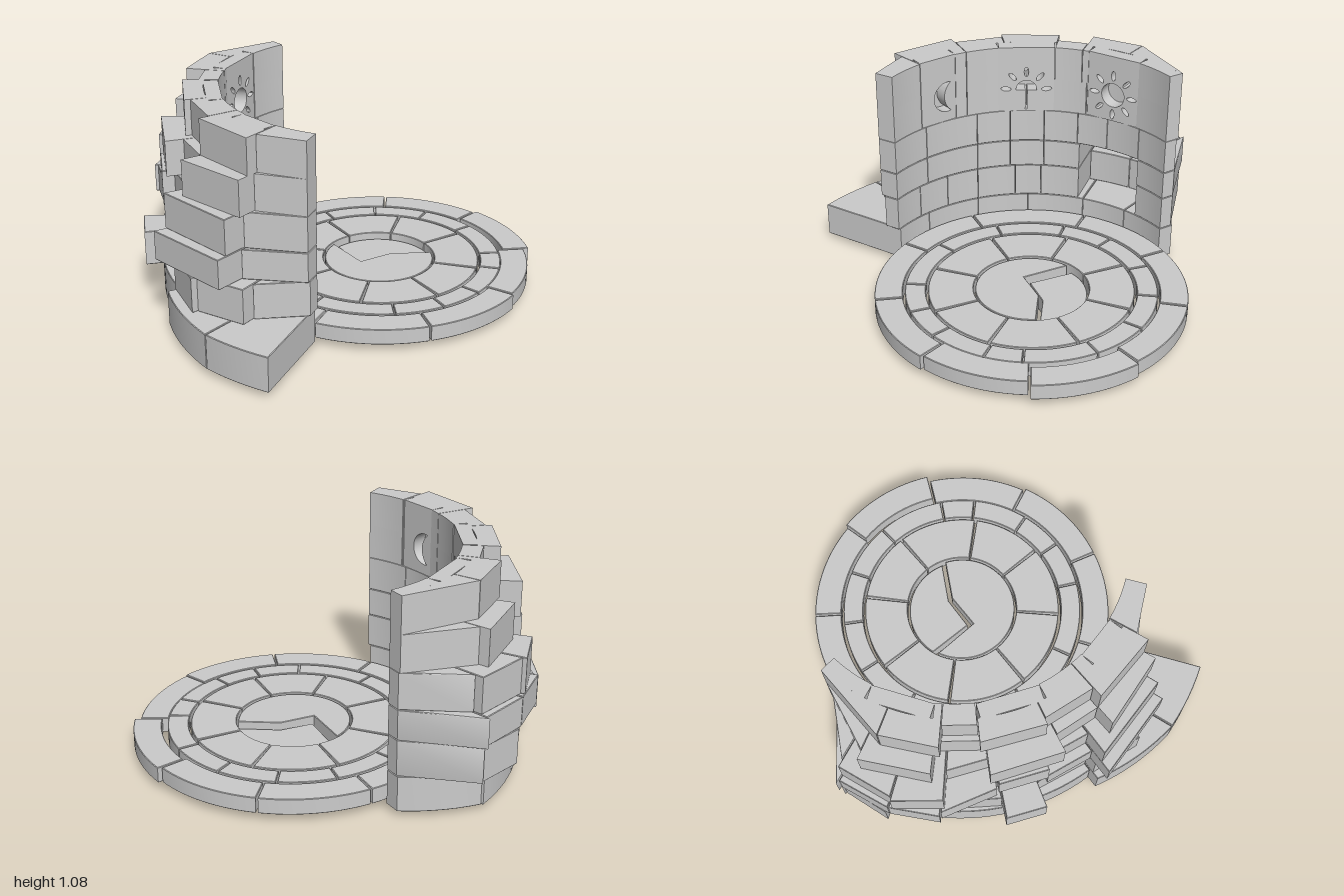
import * as THREE from 'three';
import { toCreasedNormals } from 'three/addons/utils/BufferGeometryUtils.js';

const material = new THREE.MeshStandardMaterial({ color: 0xcccccc });
const rad = THREE.MathUtils.degToRad;
const polar = (r, t) => new THREE.Vector2(r * Math.cos(rad(t)), r * Math.sin(rad(t)));

// Stand a plan outline (x, z) up between two heights
function slab(points, y0, y1, bevel, name) {
  const geo = new THREE.ExtrudeGeometry(new THREE.Shape(points), {
    depth: y1 - y0 - 2 * bevel, bevelEnabled: bevel > 0,
    bevelSize: bevel, bevelThickness: bevel, bevelOffset: -bevel, bevelSegments: 1,
  });
  geo.rotateX(Math.PI / 2).translate(0, y1 - bevel, 0);
  const mesh = new THREE.Mesh(toCreasedNormals(geo, rad(25)), material);
  mesh.name = name;
  return mesh;
}

// Ring segment whose outer radius runs from ro0 to ro1; a rough one has a straight outer edge
function segment(t0, t1, ri, [ro0, ro1], [y0, y1], name, { bevel = 0.003, rough = false } = {}) {
  const n = Math.max(2, Math.ceil((t1 - t0) / 3));
  const pts = [];
  for (let i = 0; i <= n; i++) pts.push(polar(ri, t0 + (t1 - t0) * i / n));
  for (let i = n; i >= 0; i -= rough ? n : 1) {
    pts.push(polar(ro0 + (ro1 - ro0) * i / n, t0 + (t1 - t0) * i / n));
  }
  return slab(pts, y0, y1, bevel, name);
}

// Floor: three rings of paving stones around a cracked disc
function floor() {
  const g = new THREE.Group();
  g.name = 'floor';
  const rings = [
    ['innerPavingStone', 0.29, 0.515, 0.7, [-113, -67, -24, 24, 66, 110, 157, 203]],
    ['middlePavingStone', 0.528, 0.63, 0.4, [-108, -82, -55, -28, 5, 22, 49, 70, 93, 131, 164, 198, 223]],
    ['outerPavingStone', 0.643, 0.781, 0.4, [-116, -77, -37, 2, 42, 82, 123, 157, 203.5]],
  ];
  for (const [name, ri, ro, gap, joints] of rings) {
    joints.forEach((t, i) => {
      const next = i + 1 < joints.length ? joints[i + 1] : joints[0] + 360;
      const shift = name !== 'outerPavingStone' ? 0 : t === -37 ? 0.018 : t === 2 ? -0.012 : 0;
      g.add(segment(t + gap, next - gap, ri + shift, [ro + shift, ro + shift], [0.04, 0.12], name));
    });
  }
  const arc = (t0, t1) => Array.from({ length: 41 }, (_, i) => polar(0.28, t0 + (t1 - t0) * i / 40));
  const v = (x, z) => new THREE.Vector2(x, z);
  g.add(slab([...arc(-3, 222), v(-0.1, 0.035), v(0.07, -0.035)], 0.035, 0.115, 0.003, 'centreDiscLower'));
  g.add(slab([...arc(229, 353), v(0.07, -0.055), v(-0.09, 0.005)], 0, 0.085, 0.003, 'centreDiscSunken'));
  return g;
}

// Carved panels: hole outlines
function ellipse(x, y, rx, ry, turn = 0) {
  const p = new THREE.Path();
  p.absellipse(x, y, rx, ry, 0, Math.PI * 2, false, turn);
  return p;
}
function rays(cy, first, last, step) {
  const out = [];
  for (let d = first; d <= last; d += step) {
    const c = polar(0.108, d);
    out.push(ellipse(c.x, cy + c.y, 0.027, 0.012, rad(d)));
  }
  return out;
}
function sunHoles() {
  return [ellipse(0, 0.865, 0.066, 0.066), ...rays(0.865, 0, 315, 45)];
}
function risingSunHoles() {
  const half = new THREE.Path();
  half.moveTo(0.055, 0.84);
  half.absarc(0, 0.84, 0.055, 0, Math.PI, false);
  half.lineTo(-0.005, 0.84);
  half.lineTo(-0.005, 0.73);
  half.lineTo(0.005, 0.73);
  half.lineTo(0.005, 0.84);
  return [half, ...rays(0.835, 6, 174, 42)];
}
function moonHoles() {
  const moon = new THREE.Path();
  moon.absarc(0.055, 0.855, 0.083, rad(76), rad(284), false);
  moon.absarc(0.135, 0.855, 0.1, rad(233), rad(127), true);
  return [moon];
}

const PANELS = [
  { name: 'sunPanel', at: -33, half: 10.5, holes: sunHoles },
  { name: 'risingSunPanel', at: 1, half: 10.5, holes: risingSunHoles },
  { name: 'moonPanel', at: 36, half: 7.5, holes: moonHoles },
];
const RI = 0.8, BACK = 0.87;

function carvedPanel({ name, at, half, holes }) {
  const w = RI * Math.sin(rad(half)) + 0.001;
  const s = new THREE.Shape([[-w, 0.72], [w, 0.72], [w, 1.08], [-w, 1.08]].map(p => new THREE.Vector2(...p)));
  s.holes.push(...holes());
  const geo = new THREE.ExtrudeGeometry(s, { depth: 0.075, bevelEnabled: false, curveSegments: 10 });
  geo.translate(0, 0, -0.075);
  const mesh = new THREE.Mesh(toCreasedNormals(geo, rad(35)), material);
  const t = rad(180 - at), r = RI * Math.cos(rad(half)) + 0.004;
  mesh.position.set(r * Math.cos(t), 0, r * Math.sin(t));
  mesh.rotation.y = Math.atan2(-Math.cos(t), -Math.sin(t));
  mesh.name = name;
  return mesh;
}

// Wall courses: heights, joint angles from the middle of the wall,
// outer radii (single or start and end), and inner radii of the niche stones
const COURSES = [
  { y: [0.03, 0.21], a: [-59, -40, -22, 0, 20, 42, 58],
    ro: [[0.88, 1.1], 1.11, 1.11, 1.11, [1.17, 1.27], [1.27, 1.29]] },
  { y: [0.21, 0.39], rough: true, a: [-59, -45, -33, -20, -5, 5, 20, 33, 46, 59],
    ro: [[0.87, 1.17], [1.16, 1.2], 1.13, 1.1, 1.2, 1.07, [1.13, 1.18], [1.15, 1.1], [1.03, 0.88]],
    ri: { 1: 1.03, 2: 1.03 } },
  { y: [0.39, 0.54], rough: true, a: [-59, -45, -32, -20, -6, 7, 20, 42, 59],
    ro: [[0.87, 1.19], [1.17, 1.2], 1.2, [1.18, 1.08], 1.04, 1.09, [1.22, 1.17], [1.02, 0.9]],
    ri: { 1: 1.08, 2: 1.12 } },
  { y: [0.54, 0.72], rough: true, a: [-59, -45, -31, -19, -6, 7, 20, 42, 59],
    ro: [[0.87, 1.1], [1.14, 1.18], [1.2, 1.16], [1.02, 0.97], 1.1, 1.04, [1.16, 1.12], [1.0, 0.9]] },
  { y: [0.72, 0.9], rough: true, carved: true, a: [-59, -40, -22, -8, 11, 24, 44, 59],
    ro: [[0.88, 1.05], [1.1, 1.08], 0.93, 1.09, 1.0, [1.1, 1.06], [0.96, 0.9]] },
  { y: [0.9, 1.08], rough: true, carved: true, a: [-59, -36, -20, -9.7, 8.6, 24, 44, 59],
    ro: [[0.88, 1.0], 1.0, 0.9, 0.98, 0.95, 1.0, [0.94, 0.9]] },
];

function wall() {
  const g = new THREE.Group();
  g.name = 'wall';
  const gap = 0.12;
  for (const { y, rough, carved, a, ro, ri = {} } of COURSES) {
    ro.forEach((outer, i) => {
      const a0 = a[i] + gap, a1 = a[i + 1] - gap;
      const inner = carved ? BACK : ri[i] ?? RI;
      const [start, end] = [outer].flat().length > 1 ? outer : [outer, outer];
      g.add(segment(180 - a1, 180 - a0, inner, [end, start], y, 'wallBlock', { rough, bevel: carved ? 0 : 0.003 }));
      if (!carved) return;
      // Facing stones on either side of the carved panels
      let spans = [[a0, a1]];
      for (const { at, half } of PANELS) {
        spans = spans.flatMap(([s, e]) => [[s, Math.min(e, at - half)], [Math.max(s, at + half), e]])
          .filter(([s, e]) => e - s > 0.3);
      }
      for (const [s, e] of spans) {
        g.add(segment(180 - e, 180 - s, RI, [BACK, BACK], y, 'facingBlock', { bevel: 0 }));
      }
    });
  }
  PANELS.forEach(p => g.add(carvedPanel(p)));
  return g;
}

export function createModel() {
  const model = new THREE.Group();
  model.name = 'ruinedRoundShrine';
  const ring = new THREE.Group();
  ring.name = 'ringCentre';
  ring.position.set(0.2, 0, -0.13);
  ring.add(floor(), wall());
  model.add(ring);
  return model;
}
